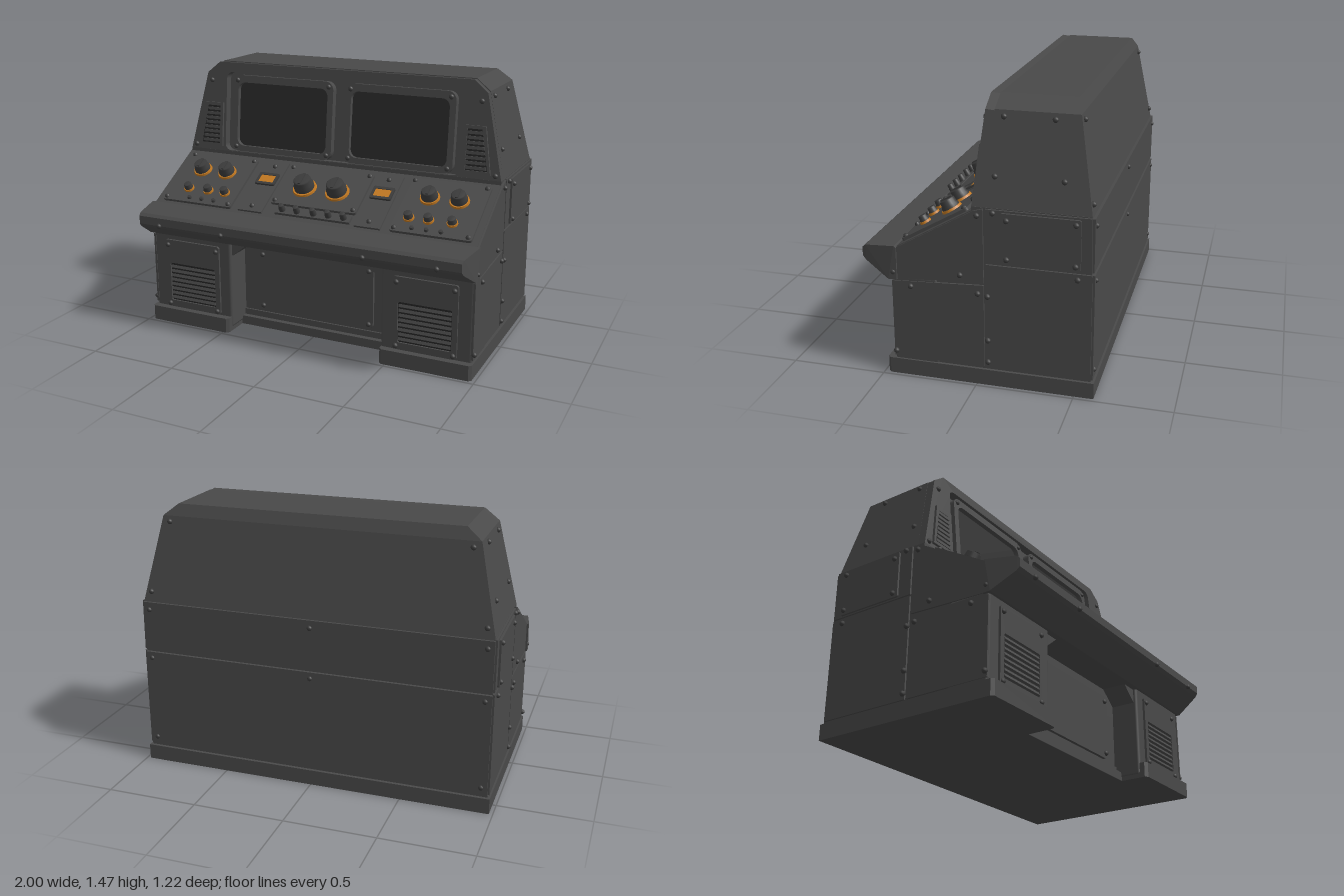
import * as THREE from 'three';
import { ConvexGeometry } from 'three/addons/geometries/ConvexGeometry.js';
import { RoundedBoxGeometry } from 'three/addons/geometries/RoundedBoxGeometry.js';

const mat = (name, color) => {
  const m = new THREE.MeshStandardMaterial({ color });
  m.name = name;
  return m;
};

export function createModel() {
  const steel = mat('painted steel', 0x494949);
  const dark = mat('dark metal', 0x3c3c3c);
  const black = mat('vent shadow', 0x262626);
  const glass = mat('screen glass', 0x2b2b2b);
  const amber = mat('amber', 0xc47a22);

  const root = new THREE.Group();
  root.name = 'controlConsole';

  const add = (parent, name, geo, m, x = 0, y = 0, z = 0) => {
    const mesh = new THREE.Mesh(geo, m);
    mesh.name = name;
    mesh.position.set(x, y, z);
    parent.add(mesh);
    return mesh;
  };
  const group = (name, x, y, z, tilt = 0) => {
    const g = new THREE.Group();
    g.name = name;
    g.position.set(x, y, z);
    g.rotation.x = tilt;
    root.add(g);
    return g;
  };
  // Box given by its limits
  const box = (parent, name, m, x0, x1, y0, y1, z0, z1, r = 0) => {
    const s = [Math.abs(x1 - x0), y1 - y0, z1 - z0];
    const geo = r ? new RoundedBoxGeometry(...s, 1, r) : new THREE.BoxGeometry(...s);
    return add(parent, name, geo, m, (x0 + x1) / 2, (y0 + y1) / 2, (z0 + z1) / 2);
  };
  const poly = pts => new THREE.Shape(pts.map(p => new THREE.Vector2(...p)));
  const roundRect = (x0, x1, y0, y1, r) => {
    const s = new THREE.Shape();
    s.absarc(x1 - r, y1 - r, r, 0, Math.PI / 2);
    s.absarc(x0 + r, y1 - r, r, Math.PI / 2, Math.PI);
    s.absarc(x0 + r, y0 + r, r, Math.PI, Math.PI * 1.5);
    s.absarc(x1 - r, y0 + r, r, Math.PI * 1.5, Math.PI * 2);
    s.closePath();
    return s;
  };
  const extrude = (shape, depth) =>
    new THREE.ExtrudeGeometry(shape, { depth, bevelEnabled: false, curveSegments: 5 });
  const boltGeo = new THREE.SphereGeometry(0.015, 8, 6);
  const bolts = (parent, list) => list.forEach(p => add(parent, 'bolt', boltGeo, dark, ...p));
  // Convex solid mirrored about x, from [x, y, z] half points
  const hull = half => new ConvexGeometry(half.flatMap(([x, y, z]) =>
    [new THREE.Vector3(x, y, z), new THREE.Vector3(-x, y, z)]));

  // Main cabinet: side profile (z, y) swept across the width
  const cabinet = extrude(poly([[-0.583, 0], [0.28, 0], [0.28, 0.53], [0.44, 0.53], [0.44, 0.69],
    [0.41, 0.705], [0.02, 0.93], [0.02, 0.95], [-0.573, 0.95]]), 1.93);
  cabinet.rotateY(-Math.PI / 2).translate(0.965, 0, 0);
  add(root, 'cabinet', cabinet, steel);

  // Plinth with the knee notch, seen from above as (x, -z)
  const plinth = extrude(poly([[-0.98, 0.6], [-0.98, -0.465], [-0.965, -0.48], [-0.48, -0.48],
    [-0.465, -0.465], [-0.465, -0.29], [0.465, -0.29], [0.465, -0.465], [0.48, -0.48],
    [0.965, -0.48], [0.98, -0.465], [0.98, 0.6]]), 0.085);
  add(root, 'plinth', plinth.rotateX(-Math.PI / 2), steel);
  box(root, 'kneeSill', steel, -0.465, 0.465, 0, 0.05, 0.2, 0.32);

  // Projecting armrest ledge
  add(root, 'ledge', hull([[0.985, 0.71, 0.42], [0.955, 0.69, 0.585], [0.95, 0.675, 0.602],
    [0.95, 0.63, 0.602], [0.955, 0.61, 0.585], [0.985, 0.53, 0.455], [0.985, 0.53, 0.41],
    [0.985, 0.70, 0.41]]), steel);

  // Knee wall panel and arch
  add(root, 'kneePanel', extrude(roundRect(-0.355, 0.355, 0.1, 0.47, 0.03), 0.018), steel, 0, 0, 0.28);
  bolts(root, [[-0.33, 0.13, 0.3], [0.33, 0.13, 0.3], [-0.33, 0.44, 0.3], [0.33, 0.44, 0.3]]);

  for (const s of [-1, 1]) {
    // Pods with louvred vents
    box(root, 'pod', steel, s * 0.46, s * 0.97, 0.02, 0.55, 0.2, 0.44, 0.015);
    add(root, 'archCorner', extrude(s > 0
      ? poly([[0.46, 0.45], [0.46, 0.53], [0.36, 0.53]])
      : poly([[-0.46, 0.45], [-0.36, 0.53], [-0.46, 0.53]]), 0.14), steel, 0, 0, 0.28);
    const door = roundRect(-0.18, 0.18, 0.09, 0.5, 0.015);
    door.holes.push(roundRect(-0.15, 0.15, 0.13, 0.36, 0.01));
    add(root, 'podDoor', extrude(door, 0.015), steel, s * 0.71, 0, 0.438);
    box(root, 'ventBack', black, s * 0.56, s * 0.86, 0.13, 0.36, 0.436, 0.443);
    for (let i = 0; i < 8; i++) {
      const slat = box(root, 'ventSlat', steel, s * 0.565, s * 0.855,
        0.141 + i * 0.027, 0.157 + i * 0.027, 0.441, 0.452);
      slat.rotation.x = -0.35;
    }
    bolts(root, [[s * 0.55, 0.47, 0.453], [s * 0.87, 0.47, 0.453],
      [s * 0.55, 0.11, 0.453], [s * 0.87, 0.11, 0.453], [s * 0.42, 0.63, 0.602], [s * 0.82, 0.63, 0.602]]);

    // Side skins, divided by seams
    const skin = (name, pts) => {
      const g = extrude(poly(pts), 0.012).rotateY(-Math.PI / 2);
      add(root, name, g, steel, s > 0 ? 0.975 : -0.963, 0, 0);
    };
    skin('lowerFrontSkin', [[-0.04, 0.1], [0.44, 0.1], [0.44, 0.52], [-0.04, 0.545]]);
    skin('consoleSkin', [[-0.04, 0.555], [0.43, 0.535], [0.43, 0.69], [0.01, 0.93], [-0.04, 0.945]]);
    skin('lowerRearSkin', [[-0.582, 0.1], [-0.052, 0.1], [-0.052, 0.658], [-0.58, 0.658]]);
    skin('upperRearSkin', [[-0.578, 0.668], [-0.052, 0.668], [-0.052, 0.945], [-0.572, 0.945]]);
    const hatch = extrude(roundRect(-0.525, -0.13, 0.675, 0.935, 0.01), 0.012).rotateY(-Math.PI / 2);
    add(root, 'sideHatch', hatch, steel, s > 0 ? 0.986 : -0.974, 0, 0);
    bolts(root, [[0.34, 0.5], [-0.01, 0.5], [0.43, 0.57], [0.08, 0.59], [0.43, 0.13], [-0.06, 0.25],
      [-0.06, 0.13], [-0.06, 0.49], [-0.01, 0.91], [-0.09, 0.93], [-0.51, 0.63]]
      .map(([z, y]) => [s * 0.978, y, z]));
    bolts(root, [[-0.16, 0.7], [-0.5, 0.7], [-0.16, 0.9], [-0.5, 0.91]].map(([z, y]) => [s * 0.986, y, z]));
    bolts(root, [[-0.09, 1.1], [-0.43, 1.1]].map(([z, y]) => [s * 0.93, y, z]));
    bolts(root, [[-0.12, 1.38], [-0.37, 1.38]].map(([z, y]) => [s * 0.868, y, z]));
  }

  // Upper housing behind the screen fascia
  add(root, 'housing', hull([[0.965, 0.94, -0.025], [0.965, 0.94, -0.575], [0.86, 1.41, -0.073],
    [0.86, 1.41, -0.492], [0.78, 1.473, -0.08], [0.78, 1.473, -0.465]]), steel);

  // Fascia: tilted frame with an opening for both screens
  const fascia = group('fascia', 0, 0.945, 0.02, -0.1);
  const outline = poly([[-0.965, 0], [0.965, 0], [0.86, 0.465], [0.78, 0.53], [-0.78, 0.53], [-0.86, 0.465]]);
  outline.holes.push(roundRect(-0.73, 0.73, 0.01, 0.475, 0.04));
  add(fascia, 'fasciaFrame', extrude(outline, 0.06), steel, 0, 0, -0.06);
  for (const s of [-1, 1]) {
    const bezel = roundRect(-0.325, 0.325, 0.012, 0.46, 0.05);
    bezel.holes.push(roundRect(-0.29, 0.29, 0.045, 0.418, 0.045));
    add(fascia, 'screenBezel', extrude(bezel, 0.045), steel, s * 0.363, 0, -0.05);
    add(fascia, 'screen', extrude(roundRect(-0.3, 0.3, 0.035, 0.43, 0.045), 0.008), glass, s * 0.363, 0, -0.04);
    bolts(fascia, [-0.295, 0.295].flatMap(x => [0.04, 0.43].map(y => [s * 0.363 + x, y, -0.007])));

    // Cheek vents with a slanted outer edge
    const cheek = d => {
      const pts = [[0.745 + d, 0.03 + d], [0.905 - d, 0.03 + d], [0.865 - d, 0.29 - d], [0.745 + d, 0.29 - d]];
      return poly(pts.map(([x, y]) => [s * x, y]));
    };
    const frame = cheek(0);
    frame.holes.push(cheek(0.018));
    add(fascia, 'cheekVentFrame', extrude(frame, 0.014), steel);
    add(fascia, 'cheekVentBack', extrude(cheek(0.015), 0.004), black);
    for (let i = 0; i < 8; i++) {
      const y = 0.055 + i * 0.027;
      box(fascia, 'cheekSlat', steel, s * 0.762, s * (0.886 - y * 0.15), y, y + 0.016, 0.002, 0.012);
    }
    bolts(fascia, [[s * 0.93, 0.03, 0], [s * 0.83, 0.42, 0]]);
  }

  // Sloping control desk: local y runs up the slope, z points out of it
  const desk = group('controlDesk', 0, 0.705, 0.41, -Math.PI / 3);
  const knob = (name, x, y, r, h, ring = true) => {
    if (ring) {
      const collar = add(desk, name + 'Collar', new THREE.CylinderGeometry(r * 1.15, r * 1.2, 0.012, 20), amber, x, y, 0.022);
      collar.rotation.x = Math.PI / 2;
    }
    const profile = [[0, h], [r * 0.75, h], [r * 0.85, h * 0.92], [r * 0.9, h * 0.5], [r, h * 0.42], [r, 0]];
    const k = add(desk, name, new THREE.LatheGeometry(profile.map(p => new THREE.Vector2(...p)).reverse(), 16), dark, x, y, 0.016);
    k.rotation.x = Math.PI / 2;
    k.material = dark;
    if (r > 0.03) box(desk, name + 'Grip', dark, x - 0.008, x + 0.008, y - r * 0.7, y + r * 0.7, 0.016 + h * 0.9, 0.022 + h);
  };
  const plate = (name, x0, x1, y0, y1) => {
    add(desk, name, extrude(roundRect(x0, x1, y0, y1, 0.015), 0.016), steel);
    bolts(desk, [x0 + 0.022, x1 - 0.022].flatMap(x => [y0 + 0.022, y1 - 0.022].map(y => [x, y, 0.015])));
  };
  plate('centrePlate', -0.26, 0.26, 0.1, 0.41);
  for (const x of [-0.1, 0.1]) knob('mainKnob', x, 0.235, 0.058, 0.075);
  for (const x of [-0.16, -0.07, 0.03, 0.12, 0.21]) knob('toggle', x, 0.055, 0.018, 0.04, false);
  box(desk, 'toggleRail', steel, -0.2, 0.25, 0.03, 0.08, 0, 0.016);

  for (const s of [-1, 1]) {
    plate('sidePlate', s > 0 ? 0.48 : -0.93, s > 0 ? 0.93 : -0.48, 0.02, 0.42);
    for (const x of [0.625, 0.79]) knob('dial', s * x, 0.28, 0.046, 0.06);
    for (const x of [0.56, 0.67, 0.80]) knob('smallDial', s * x, 0.12, 0.025, 0.042);
    for (const x of [0.6, 0.68, 0.76]) knob('sideButton', s * x, 0.05, 0.012, 0.015, false);

    // Indicator lamp in its strip
    const lampX = s * 0.355;
    box(desk, 'lampStrip', steel, lampX - 0.075, lampX + 0.075, 0.02, 0.42, 0, 0.012);
    const lampFrame = roundRect(-0.062, 0.062, 0.225, 0.315, 0.008);
    lampFrame.holes.push(roundRect(-0.047, 0.047, 0.242, 0.298, 0.004));
    add(desk, 'lampFrame', extrude(lampFrame, 0.014), dark, lampX, 0, 0.01);
    box(desk, 'lamp', amber, lampX - 0.048, lampX + 0.048, 0.241, 0.299, 0.012, 0.02);
    bolts(desk, [[lampX, 0.38, 0.012], [lampX, 0.06, 0.012]]);
  }

  // Rear skins with seams between them
  box(root, 'rearLowerSkin', steel, -0.965, 0.965, 0.095, 0.655, -0.592, -0.57);
  box(root, 'rearUpperSkin', steel, -0.965, 0.965, 0.668, 0.942, -0.588, -0.565);
  for (const x of [-0.93, 0, 0.93]) bolts(root, [[x, 0.9, -0.586], [x, 0.62, -0.588]]);
  for (const s of [-1, 1]) bolts(root, [[s * 0.93, 0.14, -0.588], [s * 0.92, 1.0, -0.567], [s * 0.82, 1.38, -0.5]]);

  return root;
}
